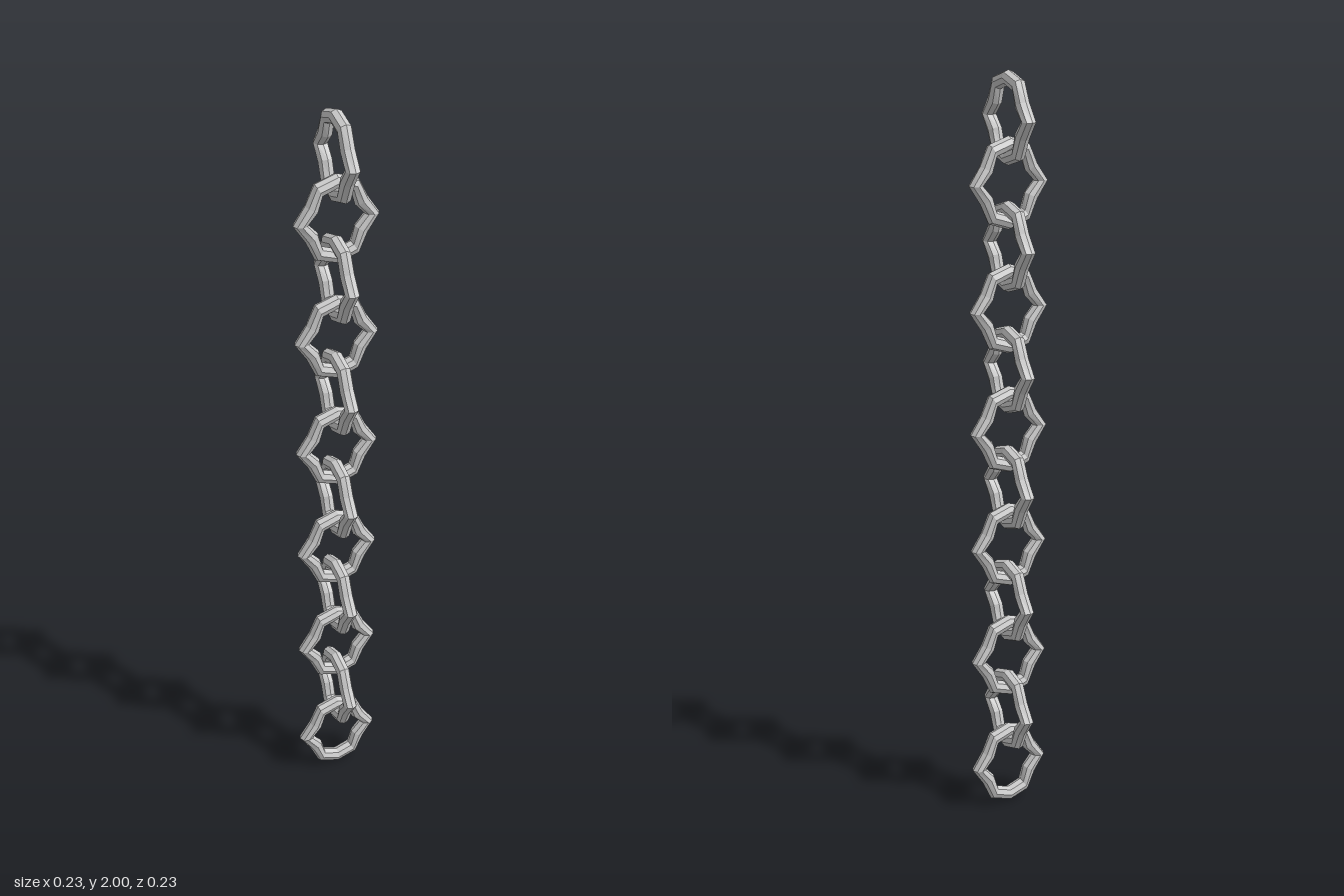
import * as THREE from 'three';

const LINKS = 12;
const HALF = 0.117; // half height of a link
const TUBE = 0.019;
// Ring radius at 0, 30, 60 and 90 degrees from the side tip
const RADII = [0.094, 0.075, 0.095, HALF - TUBE];

// Faceted ring with pointed sides and pinched shoulders
function linkGeometry() {
  const geometry = new THREE.TorusGeometry(HALF - TUBE, TUBE, 8, 12);
  const p = geometry.attributes.position;
  for (let i = 0; i < p.count; i++) {
    const step = i % 13;
    const angle = (step * Math.PI) / 6;
    const fold = step % 6;
    const shift = RADII[fold > 3 ? 6 - fold : fold] - (HALF - TUBE);
    p.setXY(i, p.getX(i) + shift * Math.cos(angle), p.getY(i) + shift * Math.sin(angle));
  }
  geometry.computeVertexNormals();
  return geometry;
}

export function createModel() {
  const chain = new THREE.Group();
  chain.name = 'chain';
  const geometry = linkGeometry();
  const material = new THREE.MeshStandardMaterial({ color: 0xcccccc, flatShading: true });
  const pitch = (2 - 2 * HALF) / (LINKS - 1);

  // Links stacked upward, every other one turned a quarter
  for (let i = 0; i < LINKS; i++) {
    const link = new THREE.Mesh(geometry, material);
    link.name = `link${i + 1}`;
    link.position.y = HALF + i * pitch;
    link.rotation.y = (i % 2) * Math.PI / 2;
    chain.add(link);
  }
  return chain;
}
